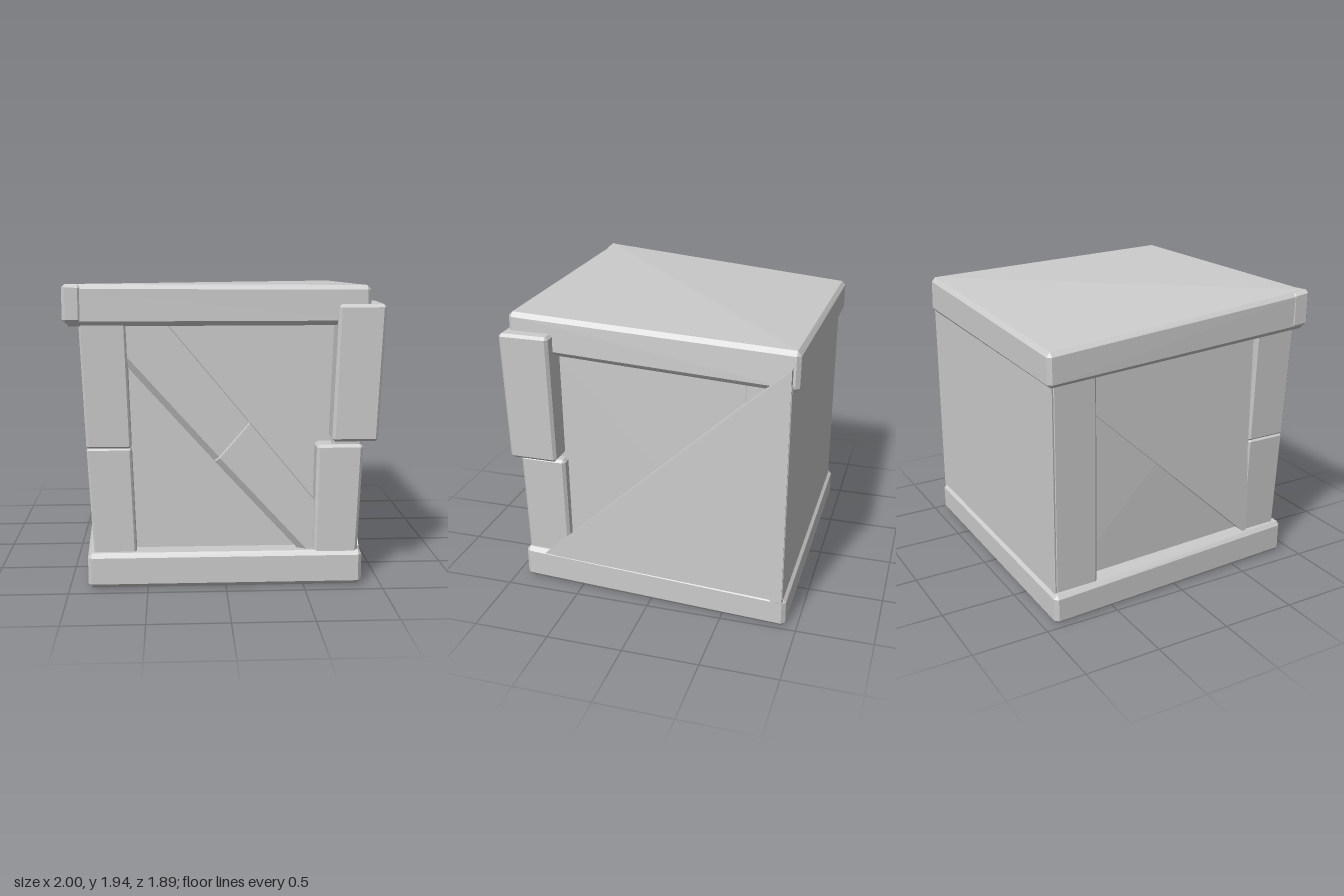
import * as THREE from 'three';
import { ConvexGeometry } from 'three/addons/geometries/ConvexGeometry.js';

const material = new THREE.MeshStandardMaterial({ color: 0xcccccc, flatShading: true });
const V = (x, y, z) => new THREE.Vector3(x, y, z);

export function createModel() {
  const crate = new THREE.Group();
  crate.name = 'brokenCrate';

  const hull = (name, points) => {
    const mesh = new THREE.Mesh(new ConvexGeometry(points), material);
    mesh.name = name;
    crate.add(mesh);
  };

  // Chamfered board between two quads, each ordered back (-x), back (+x), front (+x), front (-x)
  const board = (name, bottom, top, bevel = 0.025) => {
    const q = [bottom, top].map(c => c.map(p => V(...p)));
    const sizes = [q[0][0].distanceTo(q[0][1]), q[0][0].distanceTo(q[1][0]), q[0][0].distanceTo(q[0][3])];
    const at = (u, v, w) => {
      const level = c => c[0].clone().lerp(c[1], u).lerp(c[3].clone().lerp(c[2], u), w);
      return level(q[0]).lerp(level(q[1]), v);
    };
    const points = [];
    for (let corner = 0; corner < 8; corner++) {
      for (let flush = 0; flush < 3; flush++) {
        const t = [0, 1, 2].map(axis => {
          const inset = axis === flush ? 0 : bevel / sizes[axis];
          return (corner >> axis) & 1 ? 1 - inset : inset;
        });
        points.push(at(...t));
      }
    }
    hull(name, points);
  };

  // Leaning post: [x0, x1, z0, z1] at each end
  const quad = ([x0, x1, z0, z1], y) => [[x0, y, z0], [x1, y, z0], [x1, y, z1], [x0, y, z1]];
  const post = (name, y0, a, y1, b, bevel) => board(name, quad(a, y0), quad(b, y1), bevel);

  // Base, narrower at the front
  board('base',
    [[-0.97, 0, -0.925], [0.985, 0, -0.925], [0.875, 0, 0.92], [-0.88, 0, 0.92]],
    [[-0.97, 0.2, -0.925], [0.985, 0.2, -0.925], [0.875, 0.23, 0.92], [-0.88, 0.23, 0.92]]);

  // Recessed inner walls
  board('innerWalls',
    [[-0.82, 0.1, -0.86], [0.88, 0.1, -0.86], [0.78, 0.1, 0.78], [-0.77, 0.1, 0.78]],
    [[-0.83, 1.7, -0.86], [0.87, 1.7, -0.86], [0.8, 1.8, 0.78], [-0.82, 1.8, 0.78]], 0.005);

  // Flush back wall
  board('backWall',
    [[-0.92, 0.18, -0.905], [0.995, 0.18, -0.905], [0.985, 0.18, -0.82], [-0.9, 0.18, -0.82]],
    [[-0.93, 1.66, -0.905], [0.977, 1.66, -0.905], [0.965, 1.66, -0.82], [-0.9, 1.66, -0.82]], 0.005);

  // Sloping lid, folded along the diagonal with one back corner sagging
  board('lid',
    [[-0.97, 1.56, -0.94], [0.945, 1.6, -0.94], [0.9, 1.68, 0.92], [-0.99, 1.68, 0.92]],
    [[-0.97, 1.775, -0.94], [0.925, 1.855, -0.94], [0.89, 1.925, 0.92], [-0.995, 1.937, 0.92]]);
  board('lidCornerCap',
    [[-0.995, 1.69, 0.8], [-0.88, 1.69, 0.8], [-0.88, 1.7, 0.93], [-1, 1.7, 0.93]],
    [[-0.995, 1.92, 0.8], [-0.88, 1.92, 0.8], [-0.88, 1.932, 0.93], [-1, 1.94, 0.93]], 0.02);

  // Corner posts; the two at the front are broken in half and shifted
  post('frontRightPostLower', 0.15, [-0.84, -0.57, 0.6, 0.87], 0.908, [-0.875, -0.595, 0.6, 0.88], 0.012);
  post('frontRightPostUpper', 0.908, [-0.875, -0.595, 0.6, 0.88], 1.75, [-0.905, -0.62, 0.6, 0.9], 0.012);
  post('frontLeftPostLower', 0.15, [0.565, 0.845, 0.6, 0.9], 0.925, [0.575, 0.87, 0.6, 0.91], 0.018);
  post('frontLeftPostStub', 0.85, [0.67, 0.85, 0.82, 0.89], 1, [0.68, 0.86, 0.82, 0.89], 0.01);
  post('frontLeftPostUpper', 0.95, [0.665, 0.955, 0.62, 0.94], 1.81, [0.69, 0.985, 0.62, 0.95], 0.018);
  post('backRightPost', 0.15, [-0.92, -0.62, -0.9, -0.6], 1.66, [-0.93, -0.62, -0.9, -0.6], 0.015);
  post('backLeftPost', 0.15, [0.62, 0.92, -0.9, -0.61], 1.7, [0.62, 0.91, -0.9, -0.61], 0.015);

  // Diagonal front brace in two pieces; the third value chamfers the lower edge
  const brace = (name, outline) => hull(name, outline.flatMap(([x, y, chamfer = 0]) => [
    V(x, y, 0.74), V(x, y, 0.835), V(x + chamfer, y + chamfer, 0.865),
  ]));
  brace('braceUpper', [[-0.64, 1.72], [-0.64, 1.45, 0.03], [-0.073, 0.815, 0.03], [0.147, 1.065], [-0.395, 1.72]]);
  brace('braceLower', [[-0.067, 0.807, 0.03], [0.49, 0.2, 0.03], [0.6, 0.2], [0.6, 0.515], [0.153, 1.057]]);

  // Raised triangular boarding on the two sides
  hull('leftSidePanel', [
    V(0.88, 0.2, 0.78), V(1, 0.2, -0.9), V(0.98, 1.76, -0.9),
    V(0.78, 0.17, 0.76), V(0.88, 0.17, -0.9), V(0.87, 1.76, -0.9),
  ]);
  hull('rightSidePanel', [-0.86, -0.76].flatMap(x => [
    V(x, 0.2, 0.62), V(x, 1.65, 0.62), V(x, 1.62, -0.62), V(x, 1.35, -0.62),
  ]));

  return crate;
}
